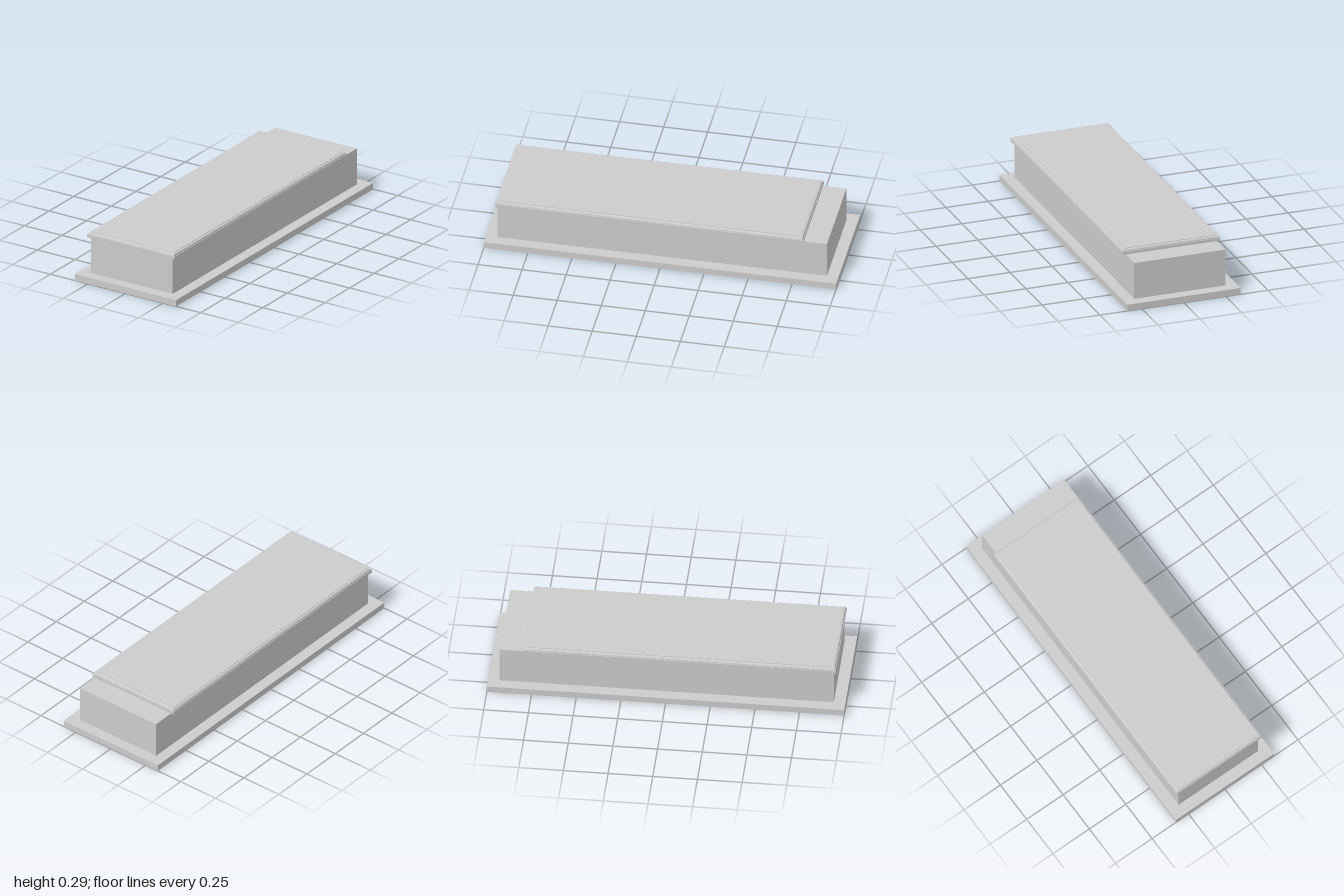
import * as THREE from 'three';

const material = new THREE.MeshStandardMaterial({ color: 0xcccccc, flatShading: true });

function addBox(parent, name, x0, x1, y0, y1, z0, z1) {
  const mesh = new THREE.Mesh(new THREE.BoxGeometry(x1 - x0, y1 - y0, z1 - z0), material);
  mesh.position.set((x0 + x1) / 2, (y0 + y1) / 2, (z0 + z1) / 2);
  mesh.name = name;
  parent.add(mesh);
}

// Four boards round an opening, each butting against the next like a pinwheel
function boardFrame(name, halfX, halfZ, width, y0, y1) {
  const frame = new THREE.Group();
  frame.name = name;
  addBox(frame, name + 'Front', -halfX + width, halfX, y0, y1, halfZ - width, halfZ);
  addBox(frame, name + 'Back', -halfX, halfX - width, y0, y1, -halfZ, -halfZ + width);
  addBox(frame, name + 'Left', halfX - width, halfX, y0, y1, -halfZ, halfZ - width);
  addBox(frame, name + 'Right', -halfX, -halfX + width, y0, y1, -halfZ + width, halfZ);
  return frame;
}

// Closed slab with a moulded rim: profile points are [inset, y], bottom to top
function mouldedSlab(halfX, halfZ, profile) {
  const positions = [];
  const indices = [];
  for (const [inset, y] of profile) {
    const x = halfX - inset, z = halfZ - inset;
    positions.push(-x, y, z, x, y, z, x, y, -z, -x, y, -z);
  }
  for (let i = 0; i < profile.length - 1; i++) {
    for (let j = 0; j < 4; j++) {
      const a = i * 4 + j, b = i * 4 + (j + 1) % 4;
      indices.push(a, b, b + 4, a, b + 4, a + 4);
    }
  }
  const t = (profile.length - 1) * 4;
  indices.push(t, t + 1, t + 2, t, t + 2, t + 3, 0, 2, 1, 0, 3, 2);
  const indexed = new THREE.BufferGeometry();
  indexed.setAttribute('position', new THREE.Float32BufferAttribute(positions, 3));
  indexed.setIndex(indices);
  const geometry = indexed.toNonIndexed();
  geometry.computeVertexNormals();
  return geometry;
}

export function createModel() {
  const model = new THREE.Group();
  model.name = 'moduleBox';

  // Flat base border and the upright walls, open underneath
  model.add(boardFrame('base', 0.337, 1, 0.104, 0, 0.038));
  model.add(boardFrame('wall', 0.272, 0.935, 0.039, 0.038, 0.254));

  // Thin panel closing the box between the walls
  addBox(model, 'topPanel', -0.233, 0.233, 0.25, 0.254, -0.896, 0.896);

  // Lid: square lower edge, small step, rounded shoulder, raised centre
  const profile = [[0, 0.254], [0, 0.27], [0.003, 0.27]];
  for (let i = 0; i <= 5; i++) {
    const a = (i / 5) * Math.PI / 2;
    profile.push([0.004 + 0.009 * (1 - Math.cos(a)), 0.274 + 0.009 * Math.sin(a)]);
  }
  profile.push([0.017, 0.283], [0.017, 0.286]);
  const lid = new THREE.Mesh(mouldedSlab(0.291, 0.875, profile), material);
  lid.name = 'lid';
  lid.position.z = 0.072;
  model.add(lid);

  return model;
}
